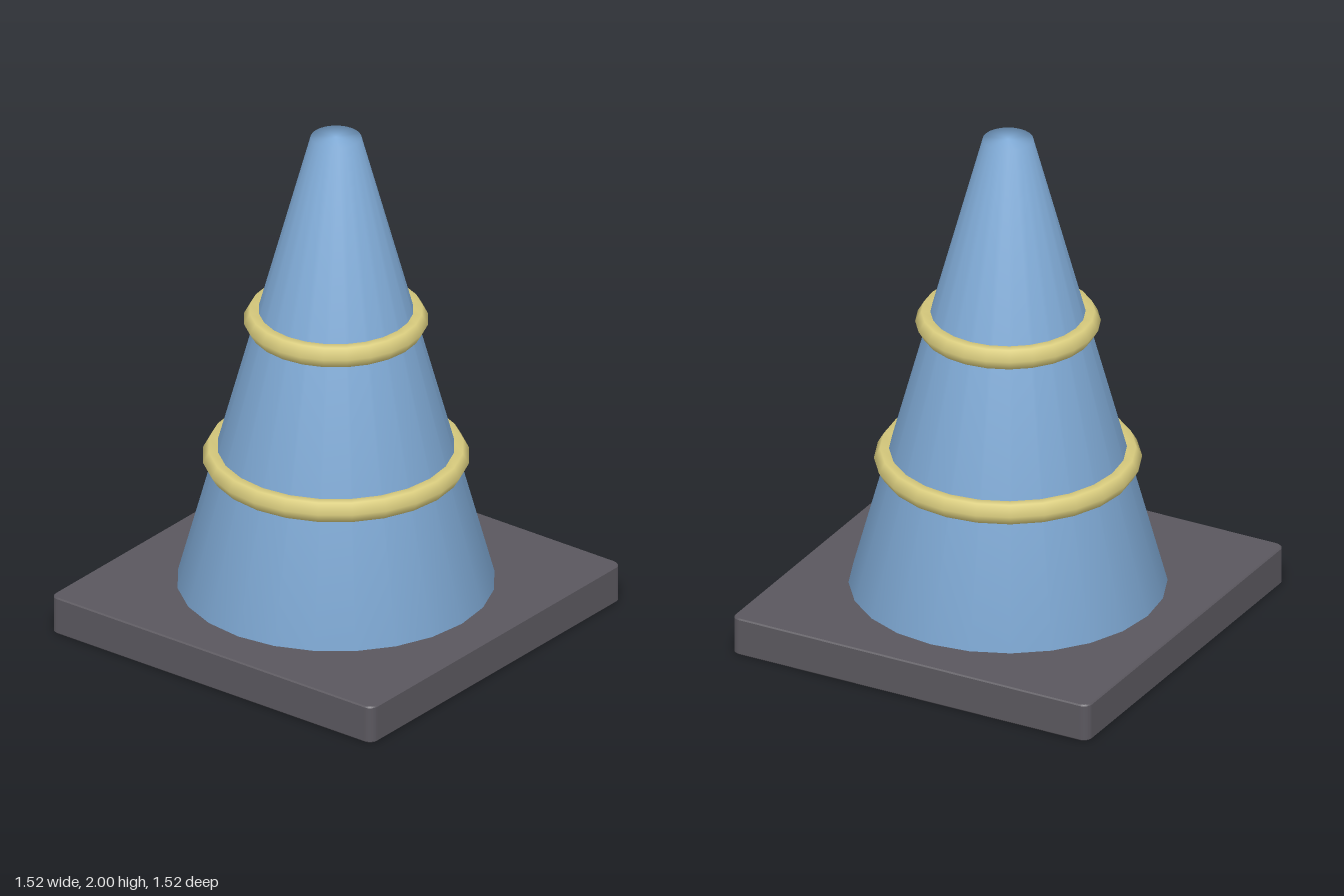
import * as THREE from 'three';
import { mergeVertices } from 'three/addons/utils/BufferGeometryUtils.js';

const SIDES = 24;
const BASE_HALF = 0.76, BASE_TOP = 0.15;
const CONE_BOTTOM = 0.595, CONE_TOP = 0.095, HEIGHT = 2;

const material = (name, color) => {
  const m = new THREE.MeshStandardMaterial({ color });
  m.name = name;
  return m;
};

// Cone radius at a given height
const coneRadius = (y) =>
  THREE.MathUtils.mapLinear(y, BASE_TOP, HEIGHT, CONE_BOTTOM, CONE_TOP);

// Weld all corners so that the shading runs smoothly over the caps
function weld(geometry) {
  geometry.deleteAttribute('normal');
  geometry.deleteAttribute('uv');
  const welded = mergeVertices(geometry, 1e-4);
  welded.computeVertexNormals();
  return welded;
}

// Square slab with rounded corners and a fine bevel
function slabGeometry() {
  const bevel = 0.005, h = BASE_HALF - bevel, r = 0.03;
  const shape = new THREE.Shape();
  shape.absarc(h - r, h - r, r, 0, Math.PI / 2);
  shape.absarc(r - h, h - r, r, Math.PI / 2, Math.PI);
  shape.absarc(r - h, r - h, r, Math.PI, Math.PI * 1.5);
  shape.absarc(h - r, r - h, r, Math.PI * 1.5, Math.PI * 2);
  const geometry = new THREE.ExtrudeGeometry(shape, {
    depth: BASE_TOP - 2 * bevel, curveSegments: 4,
    bevelSize: bevel, bevelThickness: bevel, bevelSegments: 1,
  });
  return geometry.rotateX(-Math.PI / 2).translate(0, bevel, 0);
}

export function createModel() {
  const group = new THREE.Group();
  group.name = 'trafficCone';
  const blue = material('cone blue', 0x85b1de);
  const yellow = material('ring yellow', 0xd9cc7e);
  const grey = material('base grey', 0x5a575e);

  const add = (name, geometry, mat, y = 0) => {
    const mesh = new THREE.Mesh(geometry, mat);
    mesh.name = name;
    mesh.position.y = y;
    group.add(mesh);
  };

  add('base', slabGeometry(), grey);

  // Tapered body
  const bodyHeight = HEIGHT - BASE_TOP;
  const body = new THREE.CylinderGeometry(CONE_TOP, CONE_BOTTOM, bodyHeight, SIDES);
  add('coneBody', weld(body), blue, BASE_TOP + bodyHeight / 2);

  // Six-sided rings hugging the body
  for (const [name, y] of [['lowerRing', 0.67], ['upperRing', 1.24]]) {
    const ring = new THREE.TorusGeometry(coneRadius(y), 0.046, 6, SIDES);
    add(name, ring.rotateX(-Math.PI / 2), yellow, y);
  }
  return group;
}
